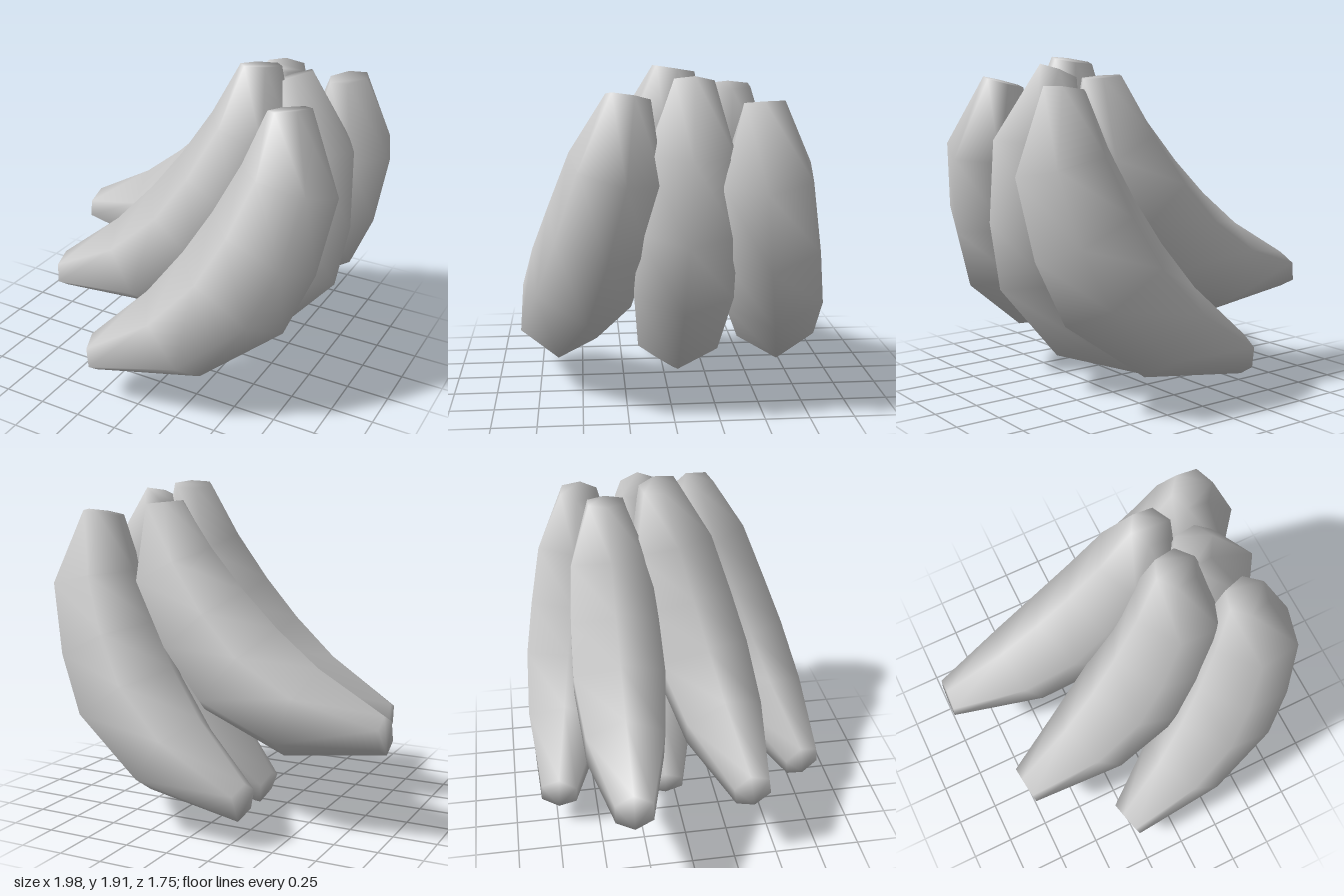
import * as THREE from 'three';

// Fruit profile: [outer x, outer y, inner x, inner y, side radius] for each ring, stem to tip.
const RINGS = [
  [0.78, 1.79, 0.555, 1.75, 0.117],
  [0.96, 1.36, 0.45, 1.46, 0.255],
  [0.89, 0.94, 0.32, 1.19, 0.285],
  [0.755, 0.6, 0.18, 0.95, 0.295],
  [0.33, 0.27, 0, 0.7, 0.25],
  [-0.26, 0.19, -0.3, 0.395, 0.115],
];
const SIDES = 6;

// Hexagonal rings swept along the bent profile, laid between stem and tip points.
// slant turns the outer curve towards +z.
function bananaGeometry(stem, tip, slant) {
  const mid = (r) => new THREE.Vector2((r[0] + r[2]) / 2, (r[1] + r[3]) / 2);
  const start = mid(RINGS[0]);
  const chord = mid(RINGS[RINGS.length - 1]).sub(start);
  const scale = stem.distanceTo(tip) / chord.length();
  chord.normalize();
  const bulge = new THREE.Vector2(-chord.y, chord.x);

  // Axes: u runs to the tip, n towards the outer curve, l sideways
  const u = tip.clone().sub(stem).normalize();
  const n = new THREE.Vector3(0.84, -0.54, slant);
  n.addScaledVector(u, -n.dot(u)).normalize();
  const l = new THREE.Vector3().crossVectors(u, n);
  const place = (x, y) => {
    const d = new THREE.Vector2(x, y).sub(start);
    return stem.clone()
      .addScaledVector(u, d.dot(chord) * scale)
      .addScaledVector(n, d.dot(bulge) * scale);
  };

  const pos = [], index = [];
  for (const [ox, oy, ix, iy, side] of RINGS) {
    const outer = place(ox, oy), inner = place(ix, iy);
    const centre = outer.clone().add(inner).multiplyScalar(0.5);
    const half = outer.clone().sub(centre);
    for (let j = 0; j < SIDES; j++) {
      const a = (j / SIDES) * Math.PI * 2;
      const p = centre.clone()
        .addScaledVector(half, Math.cos(a))
        .addScaledVector(l, side * scale * Math.sin(a));
      pos.push(p.x, p.y, p.z);
    }
  }
  // Skin
  for (let i = 0; i < RINGS.length - 1; i++) {
    for (let j = 0; j < SIDES; j++) {
      const k = (j + 1) % SIDES;
      const a = i * SIDES + j, b = i * SIDES + k;
      index.push(a, b, a + SIDES, b, b + SIDES, a + SIDES);
    }
  }
  // Ends share the rim vertices, so the shading rolls over them
  const last = (RINGS.length - 1) * SIDES;
  for (let j = 1; j < SIDES - 1; j++) {
    index.push(0, j + 1, j, last, last + j, last + j + 1);
  }

  const geo = new THREE.BufferGeometry();
  geo.setAttribute('position', new THREE.Float32BufferAttribute(pos, 3));
  geo.setIndex(index);
  geo.computeVertexNormals();
  return geo;
}

export function createModel() {
  const group = new THREE.Group();
  group.name = 'bananaBunch';
  const skin = new THREE.MeshStandardMaterial({ color: 0xcccccc });

  // name, stem centre, tip centre, slant
  const bananas = [
    ['frontBanana', [0.66, 1.78, 0.24], [-0.28, 0.29, 0.765], -0.07],
    ['innerFrontBanana', [0.365, 1.9, -0.02], [-0.77, 0.5, 0.335], 0],
    ['middleBanana', [0.52, 1.835, -0.115], [-0.14, 0.11, -0.065], 0.07],
    ['innerBackBanana', [0.38, 1.81, -0.33], [-0.98, 0.61, -0.36], 0.03],
    ['backBanana', [0.705, 1.75, -0.465], [-0.31, 0.25, -0.735], 0.1],
  ];
  for (const [name, stem, tip, slant] of bananas) {
    const geometry = bananaGeometry(
      new THREE.Vector3(...stem), new THREE.Vector3(...tip), slant);
    const mesh = new THREE.Mesh(geometry, skin);
    mesh.name = name;
    group.add(mesh);
  }
  return group;
}
